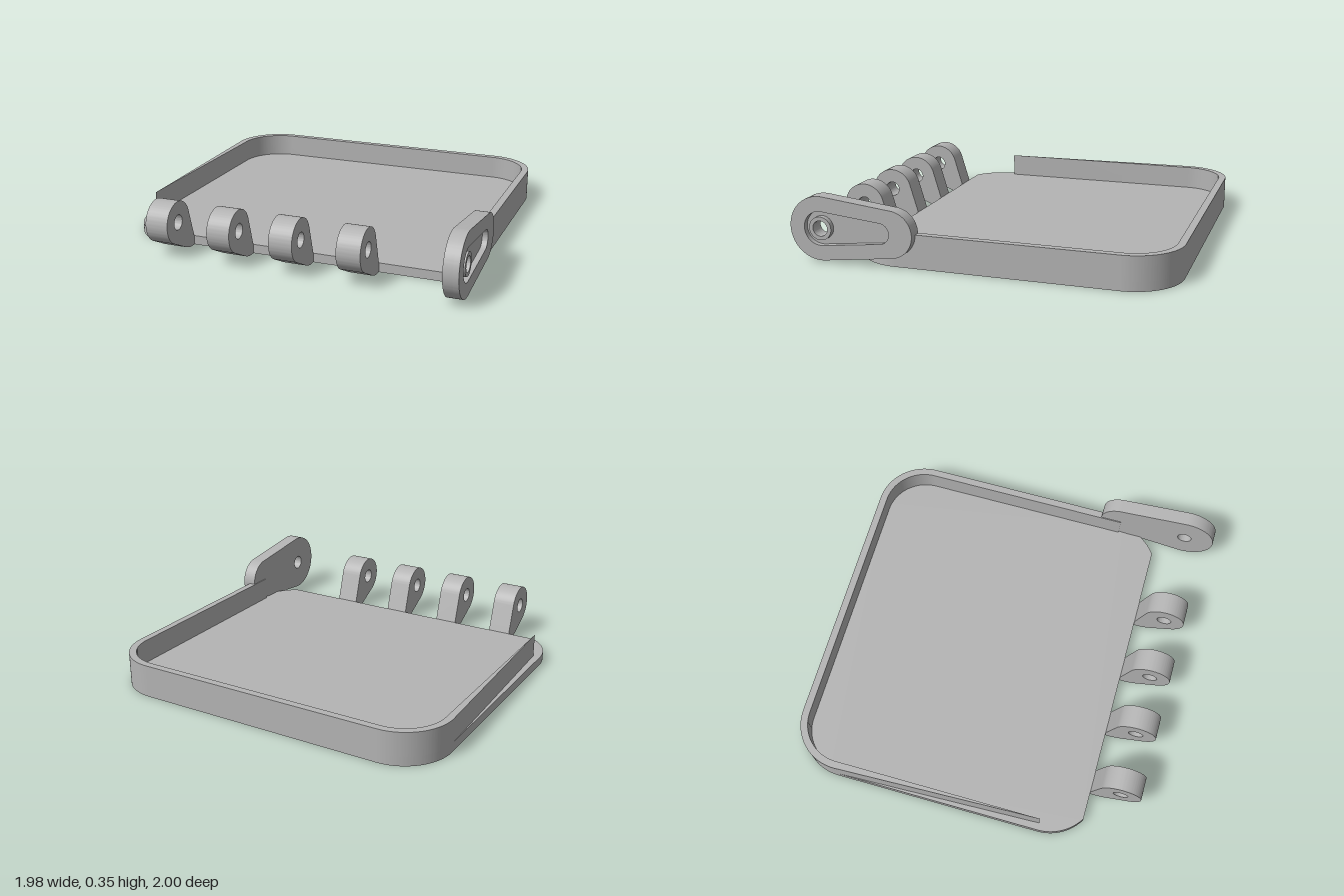
import * as THREE from 'three';
import { toCreasedNormals } from 'three/addons/utils/BufferGeometryUtils.js';

const AXIS_Z = 0.83, AXIS_Y = 0.18, HOLE = 0.041;

export function createModel() {
  const model = new THREE.Group();
  const grey = new THREE.MeshStandardMaterial({ color: 0xb4b4b4 });
  grey.name = 'grey';

  const extrude = (shape, depth) =>
    new THREE.ExtrudeGeometry(shape, { depth, bevelEnabled: false, curveSegments: 32 });
  const add = (name, geometry, parent = model) => {
    const mesh = new THREE.Mesh(toCreasedNormals(geometry, 0.5), grey);
    mesh.name = name;
    parent.add(mesh);
    return mesh;
  };
  // Plan outline (x, z) raised from y0 to y1
  const slab = (shape, y0, y1) => extrude(shape, y1 - y0).rotateX(Math.PI / 2).translate(0, y1, 0);
  // Side outline (z, y) running from x0 to x1
  const sideways = (shape, x0, x1) => extrude(shape, x1 - x0).rotateY(-Math.PI / 2).translate(x1, 0, 0);

  const circle = (r, Type = THREE.Path) => new Type().absarc(AXIS_Z, AXIS_Y, r, 0, Math.PI * 2);
  // Two circles joined by tangents: r1 on the hinge axis, r2 at z2
  const taper = (r1, z2, r2, Type) => {
    const a = Math.acos((r1 - r2) / (AXIS_Z - z2));
    const s = new Type();
    s.absarc(AXIS_Z, AXIS_Y, r1, a - Math.PI, Math.PI - a);
    s.absarc(z2, AXIS_Y + 0.002, r2, Math.PI - a, Math.PI + a);
    s.closePath();
    return s;
  };

  // Tray floor: rounded square, cut straight at the front
  const L = -0.99, R = 0.94, B = -1, F = 0.67, rad = 0.27, zEnd = 0.44, t = 0.04;
  const cut = Math.asin((F - zEnd) / rad);
  const floor = new THREE.Shape();
  floor.absarc(L + rad, B + rad, rad, Math.PI, Math.PI * 1.5);
  floor.absarc(R - rad, B + rad, rad, -Math.PI / 2, 0);
  floor.absarc(R - rad, zEnd, rad, 0, cut);
  floor.absarc(L + rad, zEnd, rad, Math.PI - cut, Math.PI);
  floor.closePath();
  add('trayFloor', slab(floor, 0, 0.05));

  // Rim wall round the back and sides, open at the front
  const wall = new THREE.Shape();
  wall.moveTo(L, zEnd);
  wall.absarc(L + rad, B + rad, rad, Math.PI, Math.PI * 1.5);
  wall.absarc(R - rad, B + rad, rad, -Math.PI / 2, 0);
  wall.lineTo(R, zEnd);
  wall.lineTo(R - t, zEnd);
  wall.absarc(R - rad, B + rad, rad - t, 0, -Math.PI / 2, true);
  wall.absarc(L + rad, B + rad, rad - t, Math.PI * 1.5, Math.PI, true);
  wall.lineTo(L + t, zEnd);
  wall.closePath();
  add('trayWall', slab(wall, 0.05, 0.18));

  // Hinge knuckles: teardrop profile rising from the front edge
  const knuckle = new THREE.Shape();
  knuckle.moveTo(0.66, 0);
  knuckle.lineTo(0.695, 0);
  knuckle.quadraticCurveTo(0.73, 0, 0.77, 0.02);
  knuckle.absarc(AXIS_Z, AXIS_Y, 0.115, THREE.MathUtils.degToRad(-63), THREE.MathUtils.degToRad(163));
  knuckle.lineTo(0.67, 0.05);
  knuckle.lineTo(0.66, 0.05);
  knuckle.closePath();
  knuckle.holes.push(circle(HOLE));
  [-0.705, -0.35, -0.005, 0.355].forEach((x, i) =>
    add('hingeKnuckle' + (i + 1), sideways(knuckle, x, x + 0.127)));

  // Side lever: plate, raised border round a tapered recess, and a ring at the pivot
  const lever = new THREE.Group();
  lever.name = 'lever';
  model.add(lever);
  const plate = taper(0.17, 0.445, 0.125, THREE.Shape);
  plate.holes.push(circle(HOLE));
  add('leverPlate', sideways(plate, 0.905, 0.955), lever);
  const border = taper(0.17, 0.445, 0.125, THREE.Shape);
  border.holes.push(taper(0.09, 0.5, 0.055, THREE.Path));
  add('leverBorder', sideways(border, 0.955, 0.985), lever);
  const ring = circle(0.062, THREE.Shape);
  ring.holes.push(circle(HOLE));
  add('pivotRing', sideways(ring, 0.955, 0.985), lever);

  return model;
}
